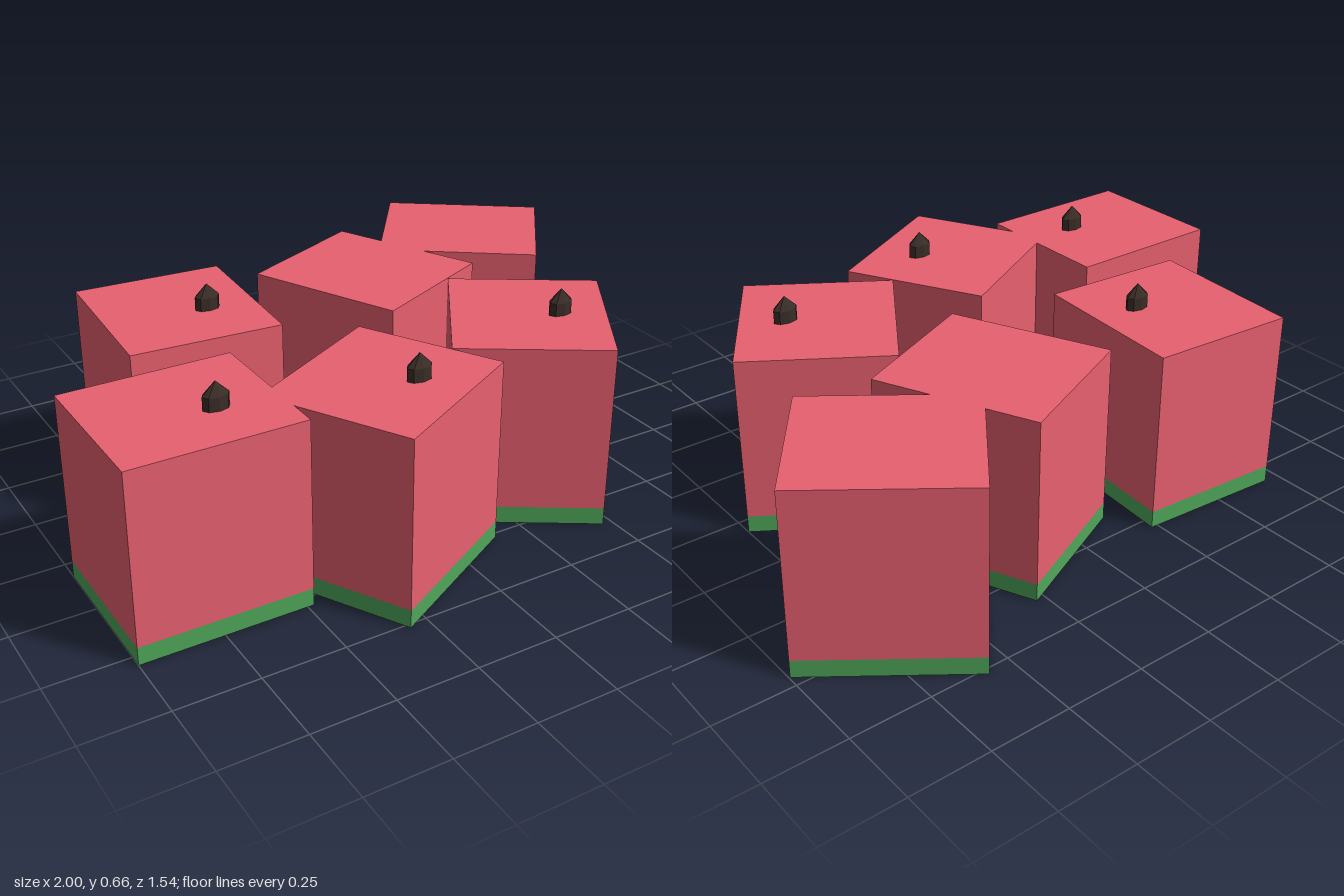
import * as THREE from 'three';

const WIDTH = 0.52, DEPTH = 0.47, RIND = 0.055, TOP = 0.578;

// Centre x, centre z, turn about y, whether a seed sits on top
const CHUNKS = [
  [-0.74, 0.305, 0, true],
  [-0.192, 0.435, 0.498, true],
  [0.411, 0.28, 1.0, true],
  [-0.48, -0.297, 1.504, true],
  [0.175, -0.273, -1.141, false],
  [0.648, -0.428, -0.635, false],
];

export function createModel() {
  const model = new THREE.Group();
  model.name = 'melonChunks';

  const flesh = new THREE.MeshStandardMaterial({ color: 0xe8606f });
  const rind = new THREE.MeshStandardMaterial({ color: 0x4fa65a });
  const dark = new THREE.MeshStandardMaterial({ color: 0x3a2d27, flatShading: true });

  const fleshGeo = new THREE.BoxGeometry(WIDTH, TOP - RIND, DEPTH);
  const rindGeo = new THREE.BoxGeometry(WIDTH, RIND, DEPTH);
  // Faceted pointed seed, half sunk into the flesh
  const seedGeo = new THREE.SphereGeometry(1, 8, 3).scale(0.046, 0.08, 0.028);

  const add = (parent, name, geometry, material, x, y, z) => {
    const mesh = new THREE.Mesh(geometry, material);
    mesh.name = name;
    mesh.position.set(x, y, z);
    parent.add(mesh);
  };

  for (const [x, z, turn, hasSeed] of CHUNKS) {
    const chunk = new THREE.Group();
    chunk.name = 'chunk';
    chunk.position.set(x, 0, z);
    chunk.rotation.y = turn;
    add(chunk, 'flesh', fleshGeo, flesh, 0, (TOP + RIND) / 2, 0);
    add(chunk, 'rind', rindGeo, rind, 0, RIND / 2, 0);
    model.add(chunk);

    // Seeds all face the same way, whatever the turn of the chunk
    if (hasSeed) add(model, 'seed', seedGeo, dark, x + 0.08, TOP, z + 0.05);
  }
  return model;
}
